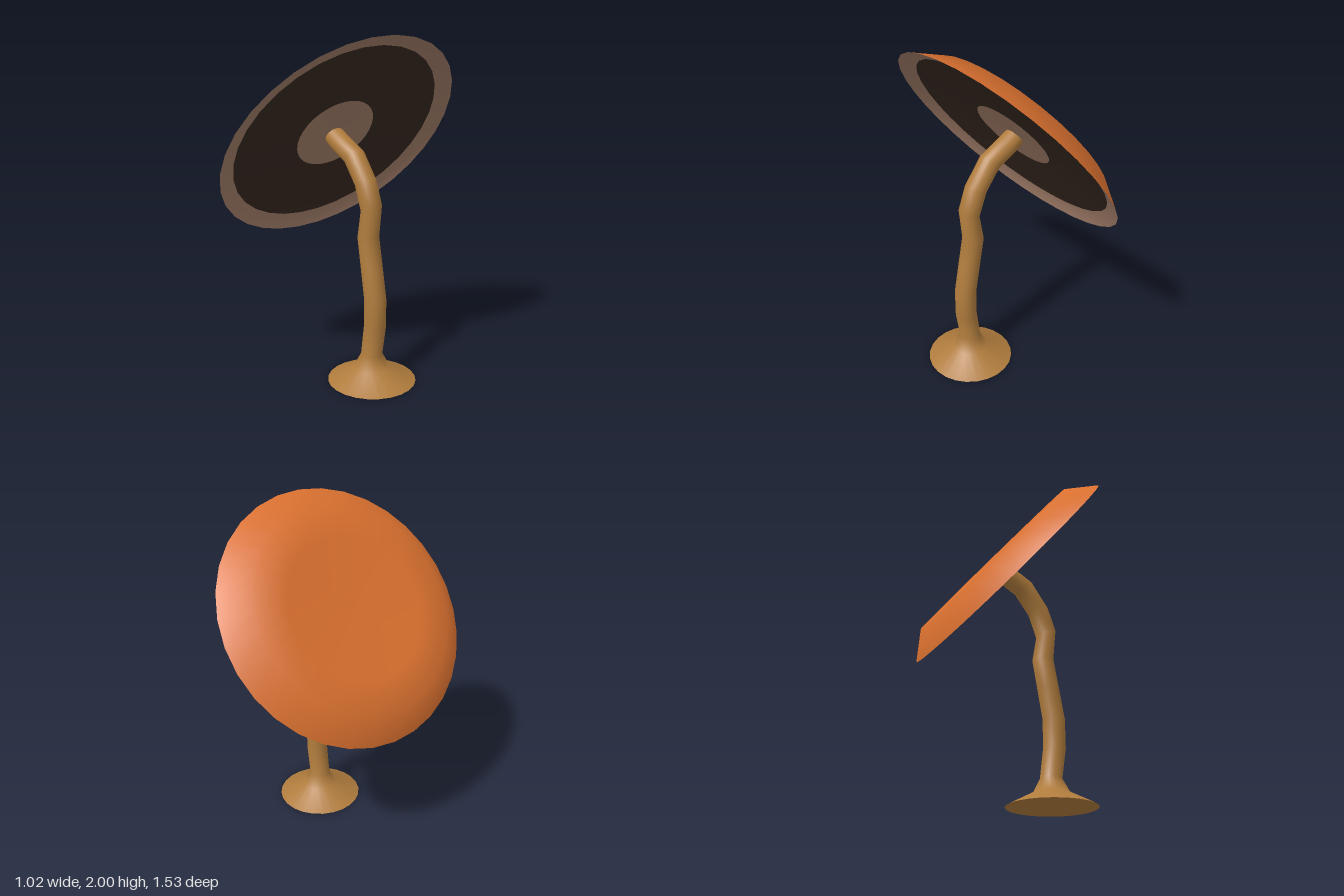
import * as THREE from 'three';
import { mergeVertices } from 'three/addons/utils/BufferGeometryUtils.js';

const paint = (name, color, side = THREE.FrontSide) =>
  Object.assign(new THREE.MeshStandardMaterial({ color, side }), { name });

const lathe = (profile, segments) =>
  new THREE.LatheGeometry(profile.map(([r, y]) => new THREE.Vector2(r, y)), segments);

// Sweeps round cross-sections [x, y, radius, tilt] into one smooth, bent tube
function bentTube(rings, segments) {
  const geometry = lathe(rings.map((ring, i) => [ring[2], i]), segments);
  const pos = geometry.attributes.position;
  for (let i = 0; i < pos.count; i++) {
    const [x, y, , tilt] = rings[Math.round(pos.getY(i))];
    const across = pos.getX(i);
    pos.setXY(i, x + across * Math.cos(tilt), y + across * Math.sin(tilt));
  }
  geometry.deleteAttribute('uv');
  geometry.deleteAttribute('normal');
  const welded = mergeVertices(geometry);
  welded.computeVertexNormals();
  return welded;
}

export function createModel() {
  const orange = paint('capOrange', 0xd9702f);
  const tan = paint('stemTan', 0xb07c3d);
  const brown = paint('undersideBrown', 0x9e7a66);
  const dark = paint('gillDark', 0x35271f);

  const model = new THREE.Group();
  model.name = 'mushroom';
  const add = (parent, name, geometry, material) => {
    const mesh = new THREE.Mesh(geometry, material);
    mesh.name = name;
    parent.add(mesh);
    return mesh;
  };

  // Curved stem with a flared foot
  const stemRings = [
    [0.245, 0, 0.262, 0],
    [0.245, 0.08, 0.105, 0],
    [0.243, 0.16, 0.063, 0],
    [0.27, 0.34, 0.065, 0],
    [0.27, 0.51, 0.065, 0],
    [0.235, 0.70, 0.064, 0.1],
    [0.203, 0.87, 0.063, 0.1],
    [0.228, 1.045, 0.063, 0.41],
    [0.175, 1.185, 0.064, 0.38],
    [0.07, 1.32, 0.064, 0.785],
    [-0.06, 1.385, 0.063, 0.9],
    [-0.12, 1.42, 0.06, 0.925],
  ];
  add(model, 'stem', bentTube(stemRings, 24), tan);
  const sole = add(model, 'stemSole', new THREE.CircleGeometry(0.262, 24), tan);
  sole.rotation.x = Math.PI / 2;
  sole.position.x = 0.245;

  // Tilted cap: shallow dished top, hollow underside in three bands
  const cap = new THREE.Group();
  cap.name = 'cap';
  cap.position.set(-0.05, 1.39, 0);
  cap.rotation.z = 0.925;
  model.add(cap);

  add(cap, 'capTop', lathe(
    [[0.767, 0], [0.605, 0.125], [0.42, 0.119], [0.2, 0.108], [0, 0.105]], 32), orange);
  add(cap, 'capRimUnderside', lathe([[0.67, 0.04], [0.72, 0.025], [0.767, 0]], 32), brown);
  add(cap, 'gills', lathe([[0.255, 0.07], [0.45, 0.06], [0.67, 0.04]], 32), dark);
  add(cap, 'gillCentre', lathe([[0, 0.075], [0.255, 0.07]], 32), brown);

  return model;
}
